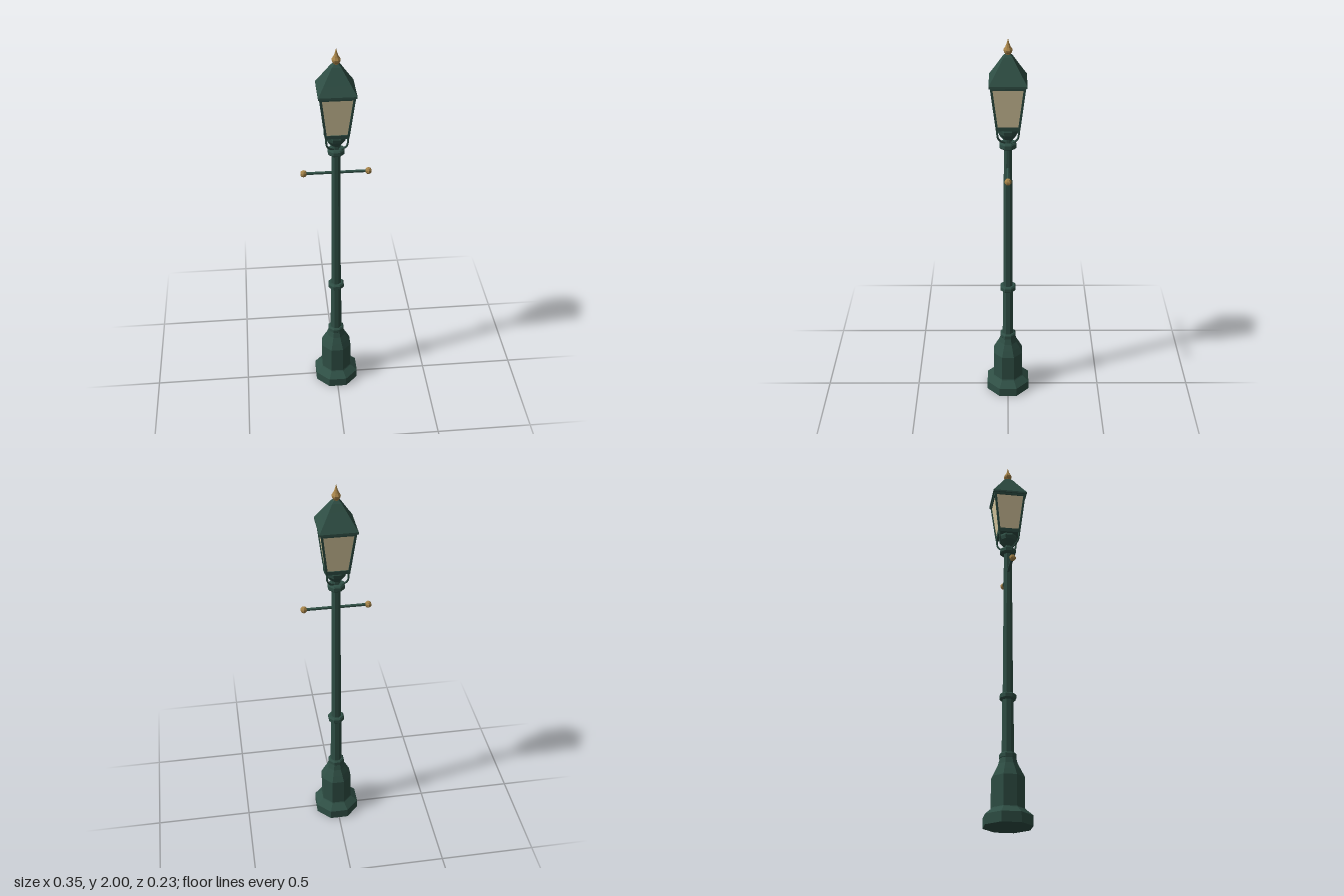
import * as THREE from 'three';

const paint = (color) => new THREE.MeshStandardMaterial({ color, flatShading: true, side: THREE.DoubleSide });

export function createModel() {
  const model = new THREE.Group();
  const green = paint(0x2f4f45), gold = paint(0xa8854a), glass = paint(0xd8c9a0);

  const add = (name, geometry, material, parent = model) => {
    const mesh = new THREE.Mesh(geometry, material);
    mesh.name = name;
    parent.add(mesh);
    return mesh;
  };

  // Faceted turning: profile of [half width across flats, y], flats facing the axes
  const turned = (name, profile, sides, material, parent) => {
    const k = 1 / Math.cos(Math.PI / sides);
    const points = profile.map(([r, y]) => new THREE.Vector2(r * k, y));
    const geometry = new THREE.LatheGeometry(points, sides).rotateY(Math.PI / sides);
    return add(name, geometry, material, parent);
  };

  // Straight bar between two points
  const bar = (name, a, b, radius, sides, parent) => {
    const dir = b.clone().sub(a);
    const mesh = add(name, new THREE.CylinderGeometry(radius, radius, dir.length(), sides).rotateY(Math.PI / sides), green, parent);
    mesh.position.copy(a).add(b).multiplyScalar(0.5);
    mesh.quaternion.setFromUnitVectors(new THREE.Vector3(0, 1, 0), dir.normalize());
    return mesh;
  };

  // Pedestal and shaft
  turned('pedestal', [[0, 0], [0.113, 0], [0.113, 0.05], [0.08, 0.08], [0.077, 0.085], [0.077, 0.235],
    [0.062, 0.268], [0.046, 0.3], [0.038, 0.33], [0, 0.33]], 8, green);
  turned('lowerShaft', [[0.029, 0.32], [0.026, 0.65]], 8, green);
  turned('upperShaft', [[0.0245, 0.64], [0.02, 1.47]], 8, green);
  for (const y of [0.341, 0.645, 1.467]) {
    turned('collar', [[0.02, y - 0.016], [0.034, y - 0.016], [0.04, y - 0.009], [0.04, y + 0.009],
      [0.034, y + 0.016], [0.018, y + 0.016]], 8, green);
  }

  // Ladder rest with knobs
  bar('ladderRest', new THREE.Vector3(-0.16, 1.345, 0), new THREE.Vector3(0.16, 1.345, 0), 0.008, 6);
  for (const side of [-1, 1]) {
    const knob = add('ladderRestKnob', new THREE.SphereGeometry(0.0175, 6, 5).rotateY(Math.PI / 6), gold);
    knob.position.set(side * 0.159, 1.345, 0);
  }

  // Lantern
  const lantern = new THREE.Group();
  lantern.name = 'lantern';
  model.add(lantern);
  turned('neck', [[0.02, 1.47], [0.02, 1.5], [0.028, 1.51], [0.042, 1.53], [0.046, 1.55], [0.04, 1.566], [0, 1.566]], 8, green, lantern);
  turned('lanternFloor', [[0, 1.562], [0.056, 1.562], [0.058, 1.582], [0, 1.582]], 4, green, lantern);
  turned('panes', [[0.0535, 1.575], [0.079, 1.79]], 4, glass, lantern);
  turned('topRail', [[0.07, 1.776], [0.083, 1.776], [0.085, 1.795], [0.07, 1.795]], 4, green, lantern);
  for (const sx of [-1, 1]) for (const sz of [-1, 1]) {
    const at = (h, y) => new THREE.Vector3(sx * h, y, sz * h);
    bar('cornerPost', at(0.0525, 1.565), at(0.079, 1.79), 0.0075, 4, lantern);
    const curve = new THREE.CatmullRomCurve3([at(0.014, 1.485), at(0.034, 1.5), at(0.049, 1.525), at(0.052, 1.57)]);
    add('supportArm', new THREE.TubeGeometry(curve, 8, 0.005, 6), green, lantern);
  }

  // Roof and finial
  turned('roof', [[0, 1.787], [0.09, 1.787], [0.09, 1.797], [0.064, 1.84], [0.04, 1.881], [0.022, 1.912], [0.01, 1.925], [0, 1.925]], 4, green, lantern);
  turned('finial', [[0.012, 1.915], [0.012, 1.925], [0.019, 1.937], [0.02, 1.946], [0.013, 1.958], [0.007, 1.972], [0, 2]], 8, gold, lantern);

  return model;
}
